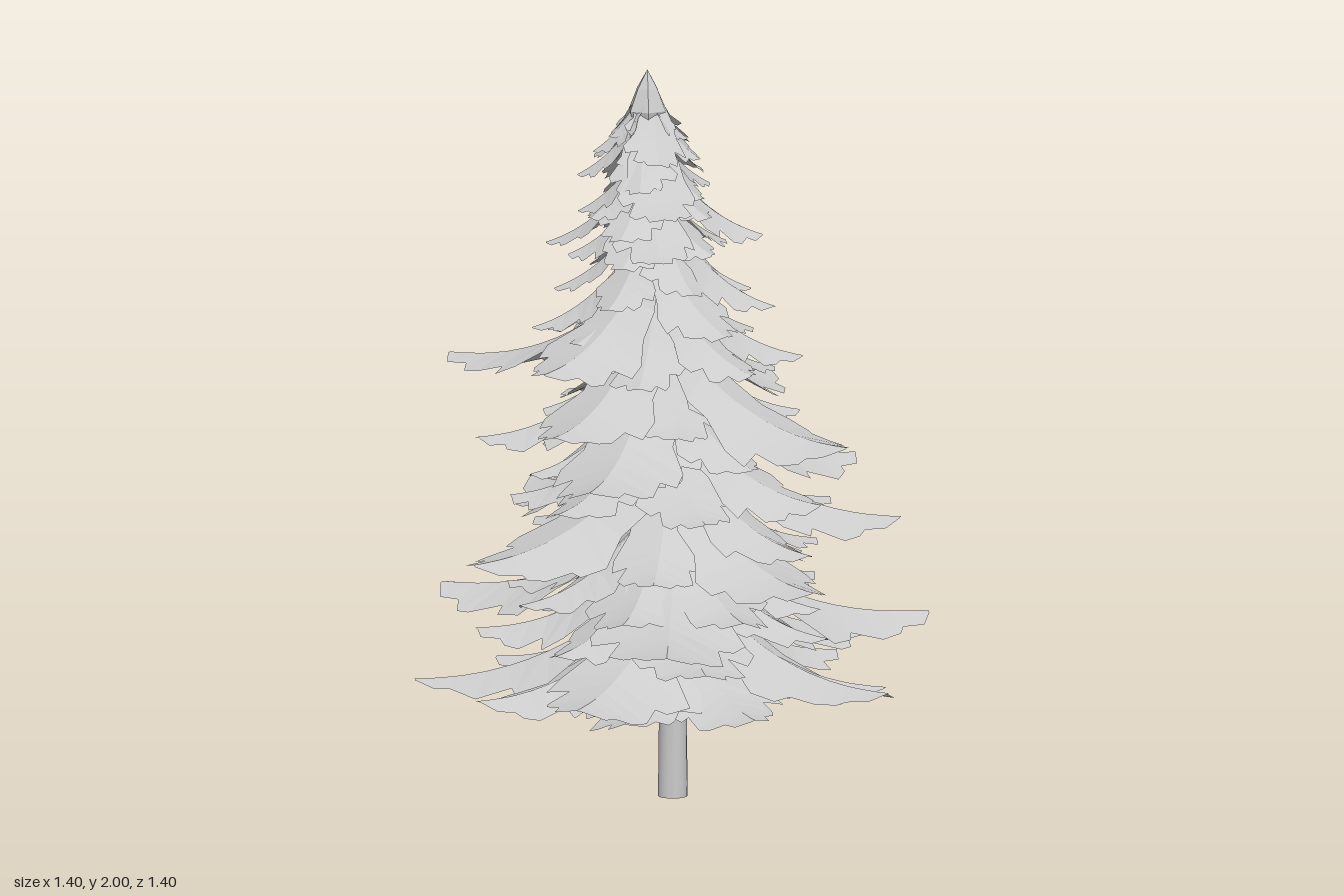
import * as THREE from 'three';

const material = new THREE.MeshStandardMaterial({
  color: 0xcccccc, flatShading: true, side: THREE.DoubleSide,
});

// Small seeded generator for natural variation
let seed = 7;
const rand = () => (seed = (seed * 16807) % 2147483647) / 2147483647;
const vary = (amount) => (rand() * 2 - 1) * amount;

// The stem leans a little towards the top
const axisX = (y) => -0.07 * THREE.MathUtils.smoothstep(y, 0.7, 1.9);
const axisZ = (y) => -0.02 + 0.01 * y;

// Lobed outline: [rib position, edge position, half width], root to tip
const OUTLINE = [
  [0, 0, 0.06], [0.25, 0.27, 0.66], [0.4, 0.4, 0.72], [0.48, 0.53, 1.05],
  [0.56, 0.64, 1.0], [0.63, 0.65, 0.7], [0.72, 0.78, 0.8], [0.8, 0.85, 0.66],
  [0.85, 0.86, 0.42], [0.94, 0.95, 0.36], [1, 1, 0.06],
];

// Drooping blade folded along its rib, growing along +x from the stem
function bladeGeometry(length, drop) {
  const positions = [], index = [];
  const width = 0.2 * length + 0.045;
  const straight = THREE.MathUtils.clamp(0.75 - 1.3 * length, 0, 0.6);
  const height = (t) => drop * THREE.MathUtils.lerp(Math.pow(1 - t, 2.3), 1 - t, straight);
  OUTLINE.forEach(([rib, edge, w], i) => {
    for (const side of [-1, 0, 1]) {
      const t = side ? Math.min(1, edge + (i ? vary(0.02) : 0)) : rib;
      const z = side * w * width * (1 + vary(0.12));
      positions.push(t * length, height(t) - Math.abs(z) * 0.32, z);
    }
    if (i === 0) return;
    const a = (i - 1) * 3, b = i * 3;
    for (const k of [0, 1]) {
      index.push(a + k, a + k + 1, b + k, a + k + 1, b + k + 1, b + k);
    }
  });
  const geometry = new THREE.BufferGeometry();
  geometry.setAttribute('position', new THREE.Float32BufferAttribute(positions, 3));
  geometry.setIndex(index);
  const flat = geometry.toNonIndexed();
  flat.computeVertexNormals();
  return flat;
}

// Long branches given by the place of their tip
const LONG_TIPS = [
  [-0.7, 0.34, 0.03], [0.56, 0.35, 0.36], [-0.03, 0.36, -0.7], [-0.3, 0.36, 0.6],
  [0.7, 0.47, -0.18], [-0.06, 0.52, 0.7], [-0.6, 0.53, -0.36], [0.32, 0.6, -0.66],
  [0.35, 0.66, 0.52], [-0.56, 0.72, 0.38], [0.61, 0.79, 0.13], [-0.34, 0.77, -0.61],
  [-0.26, 0.96, 0.61], [0.51, 0.9, -0.22], [-0.53, 1.0, 0.02], [-0.05, 0.95, -0.5],
  [0.45, 1.03, 0.38], [0.29, 1.08, -0.5], [-0.35, 1.08, 0.45], [-0.58, 1.17, -0.31],
  [0.35, 1.22, 0.05], [-0.37, 1.24, 0.38], [-0.38, 1.3, 0.02], [-0.1, 1.25, -0.33],
  [0.27, 1.37, 0.12], [-0.34, 1.52, -0.05], [0.24, 1.55, 0.03], [-0.05, 1.52, 0.27],
  [-0.07, 1.55, -0.25], [-0.23, 1.61, 0.08], [-0.04, 1.64, 0.27], [-0.08, 1.68, -0.24],
  [0.1, 1.68, -0.04], [-0.21, 1.76, -0.05], [-0.05, 1.77, 0.17],
];

// Rings of shorter branches: [tip height, reach, number]
const RINGS = [
  [0.33, 0.53, 8], [0.45, 0.49, 7], [0.57, 0.47, 8], [0.69, 0.45, 6],
  [0.81, 0.43, 7], [0.93, 0.4, 6], [1.05, 0.36, 7], [1.17, 0.33, 6],
  [1.29, 0.3, 5], [1.4, 0.26, 6], [1.5, 0.23, 5], [1.6, 0.2, 5],
  [1.69, 0.17, 5], [1.76, 0.14, 5], [1.82, 0.1, 5],
];

// The lower rings leave the trunk bare on this side
const GAP_ANGLE = -Math.PI / 4;

export function createModel() {
  seed = 7;
  const tree = new THREE.Group();
  tree.name = 'conifer';

  // Trunk: a smooth tapered tube that bends with the stem
  const trunkGeometry = new THREE.CylinderGeometry(0.02, 0.04, 1.85, 16, 10);
  trunkGeometry.translate(0, 0.925, 0);
  const p = trunkGeometry.attributes.position;
  for (let i = 0; i < p.count; i++) {
    const y = p.getY(i);
    p.setX(i, p.getX(i) + axisX(y));
    p.setZ(i, p.getZ(i) + axisZ(y));
  }
  trunkGeometry.computeVertexNormals();
  const trunk = new THREE.Mesh(trunkGeometry, new THREE.MeshStandardMaterial({ color: 0xcccccc }));
  trunk.name = 'trunk';
  tree.add(trunk);

  // Branches
  const branches = new THREE.Group();
  branches.name = 'branches';
  tree.add(branches);
  function addBranch(name, y, angle, length) {
    const drop = Math.min(0.3, 0.07 + 0.65 * length, 1.97 - y);
    const branch = new THREE.Mesh(bladeGeometry(length, drop), material);
    branch.name = name;
    branch.position.set(axisX(y + drop), y, axisZ(y));
    branch.rotation.set(vary(0.12), -angle, 0, 'YXZ');
    branches.add(branch);
  }
  for (const [x, y, z] of LONG_TIPS) {
    const dx = x - axisX(y + 0.25), dz = z - axisZ(y);
    addBranch('longBranch', y, Math.atan2(dz, dx), Math.hypot(dx, dz));
  }
  RINGS.forEach(([y, reach, count], ring) => {
    const start = y < 1.25 ? GAP_ANGLE : ring * 2.4;
    for (let i = 0; i < count; i++) {
      const angle = start + ((i + 0.5 + vary(0.12)) / count) * Math.PI * 2;
      addBranch('ringBranch', y + vary(0.035), angle, reach * (1 + vary(0.14)));
    }
  });

  // Pointed leader at the top
  const profile = [[0.02, 1.8], [0.045, 1.85], [0.055, 1.89], [0.03, 1.95], [0, 2]]
    .map(([r, y]) => new THREE.Vector2(r, y));
  const leader = new THREE.Mesh(new THREE.LatheGeometry(profile, 6), material);
  leader.name = 'leader';
  leader.position.set(-0.07, 0, 0);
  tree.add(leader);

  return tree;
}
